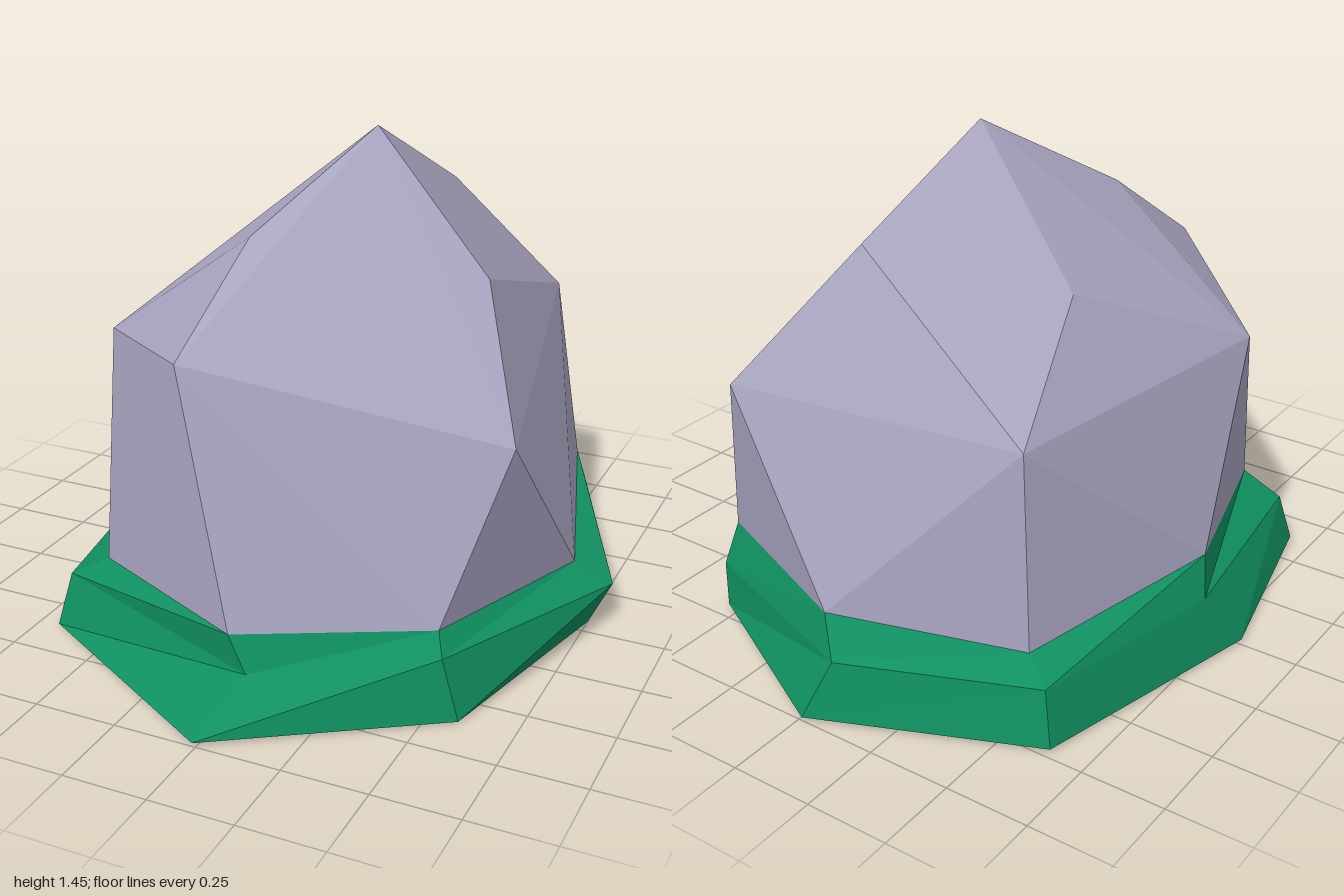
import * as THREE from 'three';
import { ConvexGeometry } from 'three/addons/geometries/ConvexGeometry.js';

// Eight-sided cross-sections, starting at the front and going round by +x
const bottomRing = [
  [-0.01, 0.01, 1.0], [0.59, 0.005, 0.61], [0.75, 0, -0.06], [0.545, 0.005, -0.7],
  [-0.01, 0.01, -1.0], [-0.64, 0.01, -0.73], [-0.82, 0.01, 0.01], [-0.68, 0.01, 0.62],
];
const middleRing = [
  [0.046, 0.12, 0.8], [0.54, 0.185, 0.61], [0.82, 0.145, -0.06], [0.545, 0.15, -0.7],
  [-0.075, 0.18, -0.94], [-0.61, 0.175, -0.71], [-0.755, 0.19, -0.11], [-0.65, 0.167, 0.58],
];
const topRing = [
  [-0.01, 0.225, 0.79], [0.51, 0.24, 0.56], [0.7, 0.195, -0.06], [0.52, 0.28, -0.66],
  [-0.01, 0.285, -0.885], [-0.525, 0.23, -0.66], [-0.725, 0.305, -0.066], [-0.53, 0.235, 0.56],
];

// Corners of the boulder above the moss: shoulders, upper corners, peak
const rockCorners = [
  [-0.195, 0.945, 0.705], [0.645, 0.72, 0.37], [0.397, 0.81, -0.77], [-0.49, 0.807, -0.64], [-0.655, 0.84, 0.275],
  [-0.155, 1.2, 0.34], [0.452, 1.08, 0.073], [0.127, 1.2, -0.51], [-0.39, 1.09, -0.26],
  [0.055, 1.45, -0.06],
];

// Joins the rings with side faces and closes the underside
function loftRings(rings) {
  const n = rings[0].length;
  const positions = rings.flat(2);
  const index = [];
  for (let r = 0; r < rings.length - 1; r++) {
    for (let i = 0; i < n; i++) {
      const j = (i + 1) % n;
      const a = r * n + i, b = r * n + j, c = a + n, d = b + n;
      index.push(a, b, d, a, d, c);
    }
  }
  for (let i = 1; i < n - 1; i++) index.push(0, i + 1, i);
  const indexed = new THREE.BufferGeometry();
  indexed.setAttribute('position', new THREE.Float32BufferAttribute(positions, 3));
  indexed.setIndex(index);
  const geometry = indexed.toNonIndexed();
  geometry.computeVertexNormals();
  return geometry;
}

function addPart(group, name, geometry, color) {
  const mesh = new THREE.Mesh(geometry, new THREE.MeshStandardMaterial({ color, flatShading: true }));
  mesh.name = name;
  group.add(mesh);
}

export function createModel() {
  const model = new THREE.Group();
  model.name = 'mossyRock';

  // Faceted boulder rising out of the moss
  const points = [...topRing, ...rockCorners].map((p) => new THREE.Vector3(...p));
  addPart(model, 'rock', new ConvexGeometry(points), 0xa8a4c0);

  // Moss skirt around the foot
  addPart(model, 'mossBase', loftRings([bottomRing, middleRing, topRing]), 0x109060);

  return model;
}
